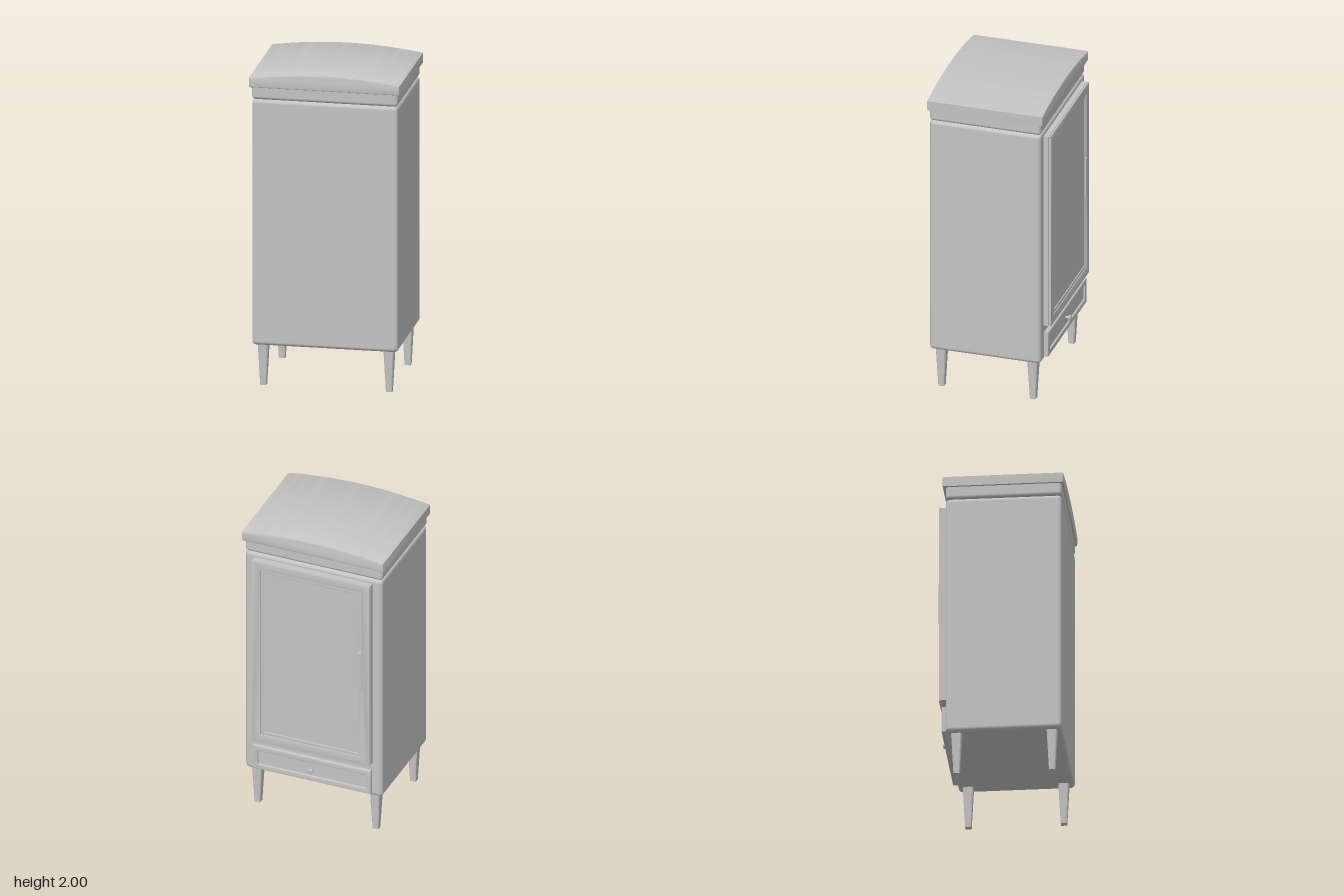
import * as THREE from 'three';
import { toCreasedNormals } from 'three/addons/utils/BufferGeometryUtils.js';
import { RoundedBoxGeometry } from 'three/addons/geometries/RoundedBoxGeometry.js';

const paint = new THREE.MeshStandardMaterial({ color: 0xc4c4c4 });
paint.name = 'grey paint';

const MID_Z = 0.02; // centre of the carcass in z
const BACK = -0.335; // carcass face that carries the door and drawer

function add(parent, name, geometry, x = 0, y = 0, z = 0) {
  const mesh = new THREE.Mesh(geometry, paint);
  mesh.name = name;
  mesh.position.set(x, y, z);
  parent.add(mesh);
  return mesh;
}

function rectangle(path, w, h) {
  path.moveTo(-w / 2, -h / 2);
  path.lineTo(w / 2, -h / 2);
  path.lineTo(w / 2, h / 2);
  path.lineTo(-w / 2, h / 2);
  path.closePath();
  return path;
}

// Extrusion with chamfered rims that keeps the outline's outer size
function bevelled(shape, depth, bevel, curveSegments = 1) {
  const geo = new THREE.ExtrudeGeometry(shape, {
    depth: depth - 2 * bevel, bevelEnabled: true, bevelThickness: bevel,
    bevelSize: bevel, bevelOffset: -bevel, bevelSegments: 2, curveSegments,
  });
  geo.translate(0, 0, bevel);
  return toCreasedNormals(geo, 0.45);
}

// Rectangular frame growing towards -z from its origin
function frameGeometry(w, h, border, depth, bevel) {
  const shape = rectangle(new THREE.Shape(), w, h);
  shape.holes.push(rectangle(new THREE.Path(), w - 2 * border, h - 2 * border));
  return bevelled(shape, depth, bevel).rotateY(Math.PI);
}

// Square leg with chamfered corners, tapering to the floor
function legGeometry(height, top, bottom) {
  const a = top / 2, c = a * 0.78;
  const shape = new THREE.Shape([
    [c, -a], [a, -c], [a, c], [c, a], [-c, a], [-a, c], [-a, -c], [-c, -a],
  ].map(([x, y]) => new THREE.Vector2(x, y)));
  const geo = new THREE.ExtrudeGeometry(shape, { depth: height, bevelEnabled: false });
  geo.rotateX(-Math.PI / 2);
  const p = geo.attributes.position;
  for (let i = 0; i < p.count; i++) {
    const s = THREE.MathUtils.lerp(bottom / top, 1, p.getY(i) / height);
    p.setX(i, p.getX(i) * s);
    p.setZ(i, p.getZ(i) * s);
  }
  geo.computeVertexNormals();
  return geo;
}

export function createModel() {
  const model = new THREE.Group();
  model.name = 'cabinet';

  // Carcass, neck and moulding
  add(model, 'carcass', new RoundedBoxGeometry(0.906, 1.56, 0.71, 3, 0.025), 0, 1.043, MID_Z);
  add(model, 'neck', new THREE.BoxGeometry(0.87, 0.06, 0.674), 0, 1.82, MID_Z);
  add(model, 'moulding', new RoundedBoxGeometry(0.906, 0.11, 0.71, 3, 0.022), 0, 1.877, MID_Z);

  // Arched crown
  const half = 0.468, side = 0.062, rise = 0.038;
  const radius = (half * half + rise * rise) / (2 * rise);
  const angle = Math.asin(half / radius);
  const profile = new THREE.Shape();
  profile.moveTo(-half, 0);
  profile.lineTo(half, 0);
  profile.lineTo(half, side);
  profile.absarc(0, side + rise - radius, radius, Math.PI / 2 - angle, Math.PI / 2 + angle, false);
  profile.closePath();
  add(model, 'crown', bevelled(profile, 0.74, 0.01, 20), 0, 1.9, -0.353);

  // Legs
  const leg = legGeometry(0.28, 0.066, 0.038);
  for (const x of [-0.39, 0.39]) {
    for (const z of [-0.272, 0.312]) add(model, 'leg', leg, x, 0, z);
  }

  // Door: surround, shadow gap, frame, inner bead and panel
  const door = new THREE.Group();
  door.name = 'door';
  door.position.set(0, 1.147, BACK);
  model.add(door);
  add(door, 'doorSurround', new THREE.BoxGeometry(0.78, 1.29, 0.033), 0, 0, -0.0165);
  add(door, 'doorGap', new THREE.BoxGeometry(0.765, 1.27, 0.006), 0, 0, -0.034);
  add(door, 'doorFrame', frameGeometry(0.776, 1.298, 0.058, 0.011, 0.003), 0, 0, -0.036);
  add(door, 'doorBead', frameGeometry(0.662, 1.184, 0.022, 0.008, 0.003), 0, 0, -0.035);
  add(door, 'doorHandle', new RoundedBoxGeometry(0.024, 0.275, 0.02, 2, 0.005), -0.326, 0.025, -0.042);

  // Drawer: frame, sunk panel and knob
  const drawer = new THREE.Group();
  drawer.name = 'drawer';
  drawer.position.set(0, 0.373, BACK);
  model.add(drawer);
  add(drawer, 'drawerPanel', new THREE.BoxGeometry(0.76, 0.15, 0.02), 0, 0, -0.01);
  add(drawer, 'drawerFrame', frameGeometry(0.78, 0.166, 0.036, 0.031, 0.006));
  const knob = new THREE.LatheGeometry([
    [0.008, 0], [0.008, 0.022], [0.017, 0.03], [0.018, 0.036], [0.014, 0.042], [0, 0.044],
  ].map(([r, y]) => new THREE.Vector2(r, y)), 20);
  knob.rotateX(-Math.PI / 2);
  add(drawer, 'drawerKnob', knob, 0, 0, -0.012);

  return model;
}
